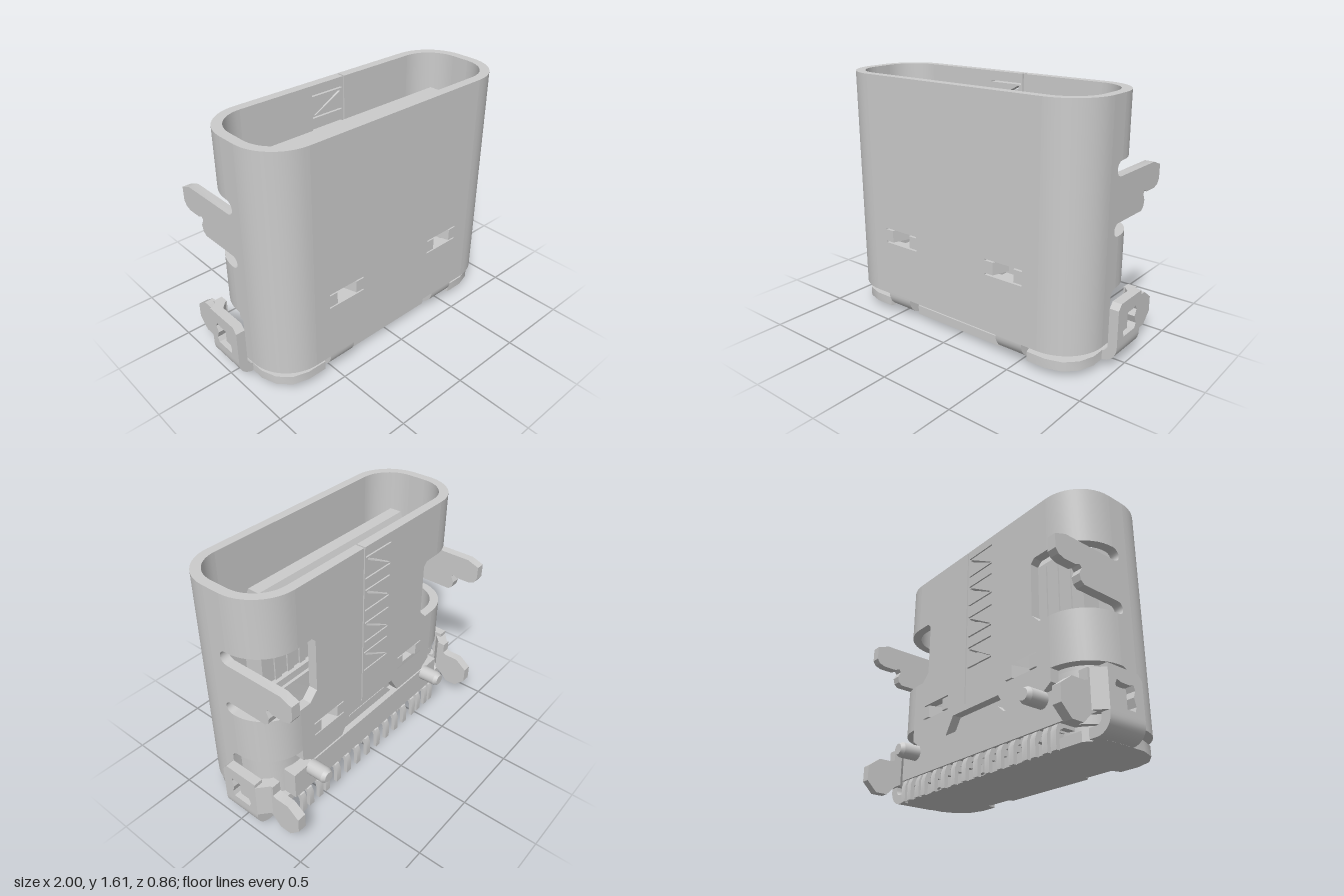
import * as THREE from 'three';
import { toCreasedNormals } from 'three/addons/utils/BufferGeometryUtils.js';

const material = new THREE.MeshStandardMaterial({ color: 0xcccccc });
const V = (x, y) => new THREE.Vector2(x, y);
const T = 0.06;                       // sheet metal thickness
const HALF = 0.66, R = 0.27, MID = 0.1; // shell: flat half width, corner radius, centre z
const SPRING = [0.28, 0.55];

function extrude(points, depth, holes = []) {
  const shape = new THREE.Shape(points);
  holes.forEach(h => shape.holes.push(new THREE.Path(h)));
  return new THREE.ExtrudeGeometry(shape, { depth, bevelEnabled: false });
}
// Outline in (x, y), thickness along z
const frontSlab = (pts, z0, z1, holes) =>
  extrude(pts.map(p => V(...p)), z1 - z0, holes?.map(h => h.map(p => V(...p)))).translate(0, 0, z0);
// Outline in (x, z), thickness along y
const upSlab = (pts, y0, y1) =>
  extrude(pts.map(([x, z]) => V(x, -z)), y1 - y0).rotateX(-Math.PI / 2).translate(0, y0, 0);
// Outline in (z, y), thickness along x
const sideSlab = (pts, x0, x1, holes) =>
  extrude(pts.map(([z, y]) => V(-z, y)), x1 - x0, holes?.map(h => h.map(([z, y]) => V(-z, y))))
    .rotateY(Math.PI / 2).translate(x0, 0, 0);
const box = (x0, x1, y0, y1, z0, z1) =>
  new THREE.BoxGeometry(x1 - x0, y1 - y0, z1 - z0).translate((x0 + x1) / 2, (y0 + y1) / 2, (z0 + z1) / 2);
const rect = (x0, x1, y0, y1) => [[x0, y0], [x1, y0], [x1, y1], [x0, y1]];
const arc = (cx, cy, r, a0, a1, n = 10) => Array.from({ length: n + 1 }, (_, i) => {
  const a = a0 + (a1 - a0) * i / n;
  return [cx + r * Math.cos(a), cy + r * Math.sin(a)];
});
// Rounded outline in (x, z) centred on the shell
function rounded(w, d, r) {
  const q = Math.PI / 2;
  return [[1, 1], [-1, 1], [-1, -1], [1, -1]].flatMap(([sx, sz], i) =>
    arc(sx * (w - r), MID + sz * (d - r), r, i * q, (i + 1) * q, 8));
}

export function createModel() {
  const model = new THREE.Group();
  const group = name => {
    const g = new THREE.Group();
    g.name = name;
    model.add(g);
    return g;
  };
  const add = (parent, name, geometry) => {
    const mesh = new THREE.Mesh(toCreasedNormals(geometry, 0.5), material);
    mesh.name = name;
    parent.add(mesh);
    return mesh;
  };

  // Metal shell: front and back walls with spring openings
  const shell = group('shell');
  const springHoles = [1, -1].map(s => rect(s * SPRING[0], s * SPRING[1], 0.52, 0.62));
  add(shell, 'frontWall', frontSlab(rect(-HALF, HALF, 0.15, 1.61), 0.37, 0.43, springHoles));

  const seamHoles = [1.4, 1.18, 0.95, 0.73].flatMap(y => [
    rect(-0.15, 0.085, y, y + 0.01),
    rect(-0.15, 0.085, y + 0.14, y + 0.15),
    [[-0.14, y + 0.02], [-0.125, y + 0.02], [0.07, y + 0.12], [0.07, y + 0.13], [0.055, y + 0.13]],
  ]);
  const backEdge = [
    [HALF, 1.24], [0.55, 1.24], [0.52, 1.21], [0.52, 0.86], [0.58, 0.8], [HALF, 0.8],
    [HALF, 0.4], [0.6, 0.36], [0.55, 0.3], [0.32, 0.3], [0.22, 0.46]];
  add(shell, 'backWall', frontSlab([
    [0.105, 1.61], [HALF, 1.61], ...backEdge,
    ...backEdge.map(([x, y]) => [-x, y]).reverse(),
    [-HALF, 1.61], [0.095, 1.61], [0.095, 0.5], [0.105, 0.5],
  ], -0.23, -0.17, [...springHoles, ...seamHoles]));

  // Rounded corners and flat ends, each end carrying an upper solder leg
  const corner = (sx, sz, y0, y1) => {
    const cx = sx * HALF, cz = MID + sz * (0.33 - R);
    const a0 = sx > 0 ? 0 : Math.PI, a1 = sz * Math.PI / 2 + (sx < 0 && sz < 0 ? 2 * Math.PI : 0);
    return upSlab([...arc(cx, cz, R, a0, a1, 12), ...arc(cx, cz, R - T, a1, a0, 12)], y0, y1);
  };
  const q = Math.PI / 2;
  const endOutline = [
    [0.16, 0.15], [0.09, 0.15], ...arc(0.045, 0.435, 0.045, 0, q, 5), [0.04, 0.48], [0.04, 0.8],
    ...arc(0.05, 0.84, 0.04, -q, q, 8),
    [-0.22, 0.88], [-0.245, 0.9], [-0.255, 0.94], [-0.235, 0.98], [-0.25, 1], [-0.28, 0.985],
    [-0.37, 0.985], [-0.41, 1], [-0.43, 1.03], [-0.43, 1.12], [-0.35, 1.15],
    ...arc(0.045, 1.195, 0.045, -q, q, 8), [0.04, 1.24], [0.04, 1.61], [0.16, 1.61]];
  for (const s of [1, -1]) {
    const [x0, x1] = s > 0 ? [0.87, 0.93] : [-0.93, -0.87];
    add(shell, 'endWallWithLeg', sideSlab(endOutline, x0, x1));
    add(shell, 'frontCorner', corner(s, 1, 0.15, 1.61));
    add(shell, 'upperBackCorner', corner(s, -1, 1.24, 1.61));
    add(shell, 'lowerBackCorner', corner(s, -1, 0.48, 0.8));

    // Contact springs dipping inward through front and back walls
    for (const side of [1, -1]) {
      const dip = [[0.28, 0.43], [0.34, 0.43], [0.375, 0.32], [0.455, 0.32], [0.49, 0.43], [0.55, 0.43],
        [0.55, 0.38], [0.52, 0.38], [0.47, 0.27], [0.36, 0.27], [0.31, 0.38], [0.28, 0.38]];
      add(shell, 'contactSpring', upSlab(dip.map(([x, z]) => [s * x, MID + side * (z - MID)]), 0.53, 0.61));
    }

    // Front tab curling under the housing
    add(shell, 'foldedTab', sideSlab([
      [0.43, 0.16], ...arc(0.32, 0.15, 0.11, 0, -q, 8), ...arc(0.32, 0.15, 0.05, -q, 0, 8), [0.37, 0.16],
    ], s * 0.455 - 0.095, s * 0.455 + 0.095));
  }

  // Insulating housing, its floor notched around the springs
  const housing = group('housing');
  const notchRow = z => {
    const deep = MID + Math.sign(z - MID) * 0.12;
    return [-0.55, -0.28, 0.28, 0.55].flatMap((x, i) => i % 2 ? [[x, deep], [x, z]] : [[x, z], [x, deep]]);
  };
  add(housing, 'taperedFoot', upSlab(rounded(0.83, 0.23, 0.18), 0.1, 0.15));
  add(housing, 'core', upSlab(rounded(0.865, 0.265, 0.21), 0.15, 0.46));
  add(housing, 'notchedFloor', upSlab([
    ...arc(-HALF, 0.155, 0.205, Math.PI, q, 8), ...notchRow(0.36),
    ...arc(HALF, 0.155, 0.205, q, -q, 16), ...notchRow(-0.16).reverse(),
    ...arc(-HALF, 0.045, 0.205, -q, -Math.PI, 8),
  ], 0.46, 0.62));
  add(housing, 'backBlock', box(-0.75, 0.75, 0.15, 0.34, -0.24, -0.15));
  add(housing, 'backRidge', frontSlab([[-0.26, 0.34], [0.26, 0.34], [0.18, 0.41], [-0.18, 0.41]], -0.2, -0.15));
  for (const s of [1, -1]) {
    const peg = new THREE.LatheGeometry([V(0.05, 0), V(0.05, 0.12), V(0.035, 0.145), V(0, 0.145)], 20);
    add(housing, 'locatingPeg', peg.rotateX(-q).translate(s * 0.6, 0.305, -0.235));
  }

  // Tongue with two rows of contacts
  const tongue = group('tongue');
  add(tongue, 'tongueBase', upSlab(rounded(0.72, 0.12, 0.04), 0.6, 0.8));
  add(tongue, 'tongueBaseStep', upSlab(rounded(0.7, 0.1, 0.04), 0.8, 0.85));
  add(tongue, 'blade', box(-0.69, 0.69, 0.85, 1.4, 0.035, 0.165));
  add(tongue, 'bladeTip', sideSlab([[0.035, 1.4], [0.165, 1.4], [0.14, 1.46], [0.06, 1.46]], -0.645, 0.645));
  for (let i = 0; i < 12; i++) {
    const x = (i - 5.5) * 0.104;
    add(tongue, 'contact', box(x - 0.025, x + 0.025, 0.85, 1.37, 0.025, 0.175));
  }

  // Solder pins, paired towards the ends
  const pins = group('pins');
  const pinOutline = [[-0.12, 0.13], [-0.2, 0.13], [-0.23, 0.11], [-0.235, 0.08], [-0.235, 0],
    [-0.26, 0], [-0.26, 0.1], [-0.245, 0.14], [-0.21, 0.16], [-0.12, 0.16]];
  for (const s of [1, -1])
    for (const x of [0.055, 0.16, 0.263, 0.367, 0.475, 0.54, 0.63, 0.695])
      add(pins, 'pin', sideSlab(pinOutline, s * x - 0.02, s * x + 0.02));
  // Comb ribs between the pins
  for (let i = -6; i <= 6; i++)
    add(housing, 'combRib', box(i * 0.104 - 0.015, i * 0.104 + 0.015, 0.1, 0.16, -0.22, -0.1));

  // Bottom cover with upright wings and lower legs
  const cover = group('bottomCover');
  const half = [[0.34, 0.37], [0.36, 0.33], [0.55, 0.33], [0.57, 0.4], [0.7, 0.4], [0.8, 0.37],
    [0.87, 0.3], [0.905, 0.2], [0.905, -0.08], [0.8, -0.16]];
  add(cover, 'plate', upSlab([...half, ...half.map(([x, z]) => [-x, z]).reverse()], 0.04, 0.1));
  for (const x of [-0.42, 0, 0.42])
    add(cover, 'edgeTab', box(x - 0.04, x + 0.04, 0.045, 0.095, -0.19, -0.15));
  for (const s of [1, -1]) {
    const span = (a, b) => s > 0 ? [a, b] : [-b, -a];
    const bend = [[0.85, 0.04], ...arc(0.9, 0.14, 0.1, -q, 0, 8), [1, 0.16], [0.94, 0.16],
      ...arc(0.9, 0.14, 0.04, 0, -q, 8), [0.85, 0.1]];
    add(cover, 'wingBend', frontSlab(bend.map(([x, y]) => [s * x, y]), -0.16, 0.11));
    const window = [[0.035, 0.19], [-0.095, 0.19], [-0.11, 0.22], [-0.09, 0.27], [-0.11, 0.31], [-0.095, 0.34],
      [-0.06, 0.33], [0, 0.33], [0.035, 0.34], [0.045, 0.31], [0.03, 0.27], [0.045, 0.22]];
    add(cover, 'wing', sideSlab([[0.11, 0.16], [0.11, 0.38], [0.08, 0.415], [-0.16, 0.415], [-0.16, 0.16]],
      ...span(0.94, 1), [window]));
    add(cover, 'latch', box(...span(0.925, 0.965), 0.19, 0.32, -0.07, 0.015));
    // Jog from the wing to the lower leg
    add(cover, 'legJog', upSlab([[1, -0.12], [1, -0.16], [0.93, -0.22], [0.87, -0.22], [0.87, -0.19], [0.94, -0.12]]
      .map(([x, z]) => [s * x, z]), 0.16, 0.39));
    add(cover, 'lowerLeg', sideSlab([[-0.18, 0.16], [-0.18, 0.39], [-0.235, 0.39], [-0.235, 0.32], [-0.26, 0.31],
      [-0.35, 0.31], [-0.43, 0.25], [-0.43, 0.15], [-0.36, 0.08], [-0.28, 0.08], [-0.22, 0.14]], ...span(0.87, 0.93)));
  }
  return model;
}
